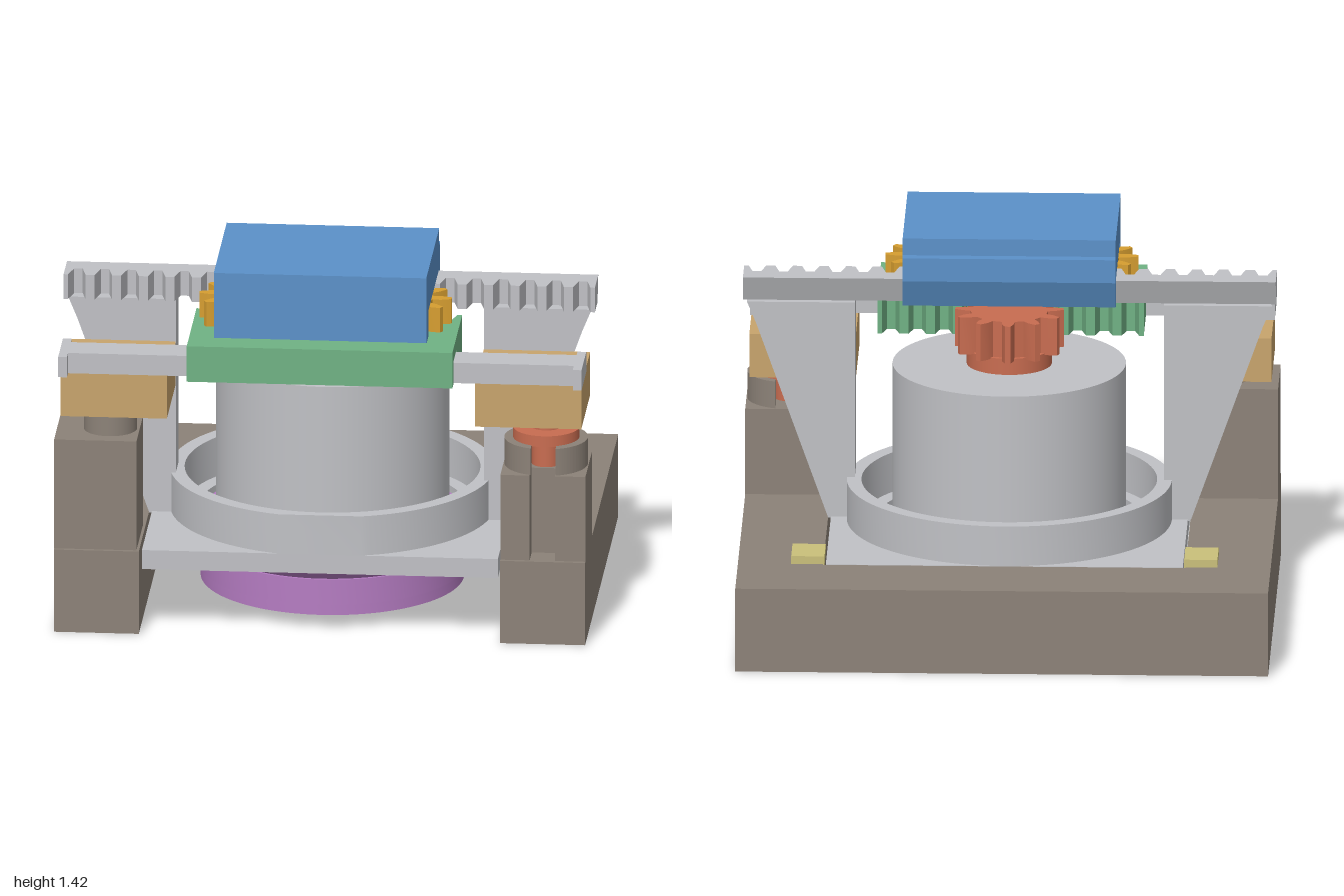
import * as THREE from 'three';
import { toCreasedNormals } from 'three/addons/utils/BufferGeometryUtils.js';

const mat = (name, color) => Object.assign(new THREE.MeshStandardMaterial({ color }), { name });
const M = {
  brown: mat('brown', 0x8c8278), grey: mat('light grey', 0xc0c1c5), purple: mat('purple', 0xb57cc2),
  tan: mat('tan', 0xc8a46c), orange: mat('orange', 0xc86c50), green: mat('green', 0x70b284),
  blue: mat('blue', 0x5b91c9), gold: mat('gold', 0xd69e30), yellow: mat('pale yellow', 0xcac07a),
};
const CZ = 0.16; // z of the main axis

export function createModel() {
  const model = new THREE.Group();
  model.name = 'gearedGripper';

  const add = (name, geo, m) => {
    const mesh = new THREE.Mesh(geo, m);
    mesh.name = name;
    model.add(mesh);
    return mesh;
  };
  // Box given by its limits
  const box = (name, m, x0, x1, y0, y1, z0, z1) => add(name,
    new THREE.BoxGeometry(x1 - x0, y1 - y0, z1 - z0)
      .translate((x0 + x1) / 2, (y0 + y1) / 2, (z0 + z1) / 2), m);
  const cyl = (name, m, r, x, z, y0, y1) => add(name,
    new THREE.CylinderGeometry(r, r, y1 - y0, 64).translate(x, (y0 + y1) / 2, z), m);
  const poly = (pts) => new THREE.Shape(pts.map(([a, b]) => new THREE.Vector2(a, b)));
  const disc = (x, z, r) => new THREE.Shape().absarc(x, z, r, 0, Math.PI * 2, false);
  const extrude = (shape, depth) => new THREE.ExtrudeGeometry(shape,
    { depth, bevelEnabled: false, curveSegments: 48 });
  // Plan outline (x, z) raised from y0 to y1
  const flat = (name, m, shape, y0, y1) => add(name,
    toCreasedNormals(extrude(shape, y1 - y0).rotateX(Math.PI / 2).translate(0, y1, 0), 0.5), m);
  // Side outline (z, y) drawn out from x0 to x1
  const along = (name, m, pts, x0, x1) => add(name,
    extrude(poly(pts), x1 - x0).rotateY(-Math.PI / 2).translate(x1, 0, 0), m);

  const gearShape = (x, z, root, tip, n, start) => {
    const pts = [], p = (Math.PI * 2) / n;
    for (let i = 0; i < n; i++) {
      for (const [f, r] of [[-0.29, root], [-0.22, (root + tip) / 2], [-0.09, tip],
        [0.09, tip], [0.22, (root + tip) / 2], [0.29, root]]) {
        const a = start + (i + f) * p;
        pts.push([x + r * Math.cos(a), z + r * Math.sin(a)]);
      }
    }
    return poly(pts);
  };
  // Straight rack with teeth centred on every 0.1 of x
  const rackShape = (half, back, root, tip) => {
    const pts = [[-half, back], [-half, tip]];
    const n = Math.round(half * 10);
    for (let i = -n; i < n; i++) {
      const v = (i + 0.5) / 10;
      if (Math.abs(v) < half - 0.02) {
        pts.push([v - 0.033, tip], [v - 0.016, root], [v + 0.016, root], [v + 0.033, tip]);
      }
    }
    pts.push([half, tip], [half, back]);
    return poly(pts);
  };

  // U-shaped base
  flat('base', M.brown, poly([[-1, -0.77], [1, -0.77], [1, 0.77], [0.68, 0.77],
    [0.68, -0.455], [-0.68, -0.455], [-0.68, 0.77], [-1, 0.77]]), 0, 0.325);

  // Plain post with its spigot
  box('plainPost', M.brown, -1, -0.69, 0.325, 0.755, 0.44, 0.755);
  cyl('postSpigot', M.brown, 0.1, -0.8, 0.6, 0.755, 0.83);

  // Slotted post with a split collar and adjusting spindle
  flat('slottedPost', M.brown, poly([[0.68, 0.44], [1, 0.44], [1, 0.755], [0.885, 0.755],
    [0.885, 0.66], [0.79, 0.66], [0.79, 0.755], [0.68, 0.755]]), 0.325, 0.66);
  for (const s of [0, Math.PI]) {
    const half = new THREE.Shape();
    half.absarc(0.84, 0.598, 0.157, s - 1.27, s + 1.27, false);
    half.absarc(0.84, 0.598, 0.115, s + 1.15, s - 1.15, true);
    flat('splitCollar', M.brown, half, 0.66, 0.765);
  }
  cyl('spindle', M.orange, 0.055, 0.84, 0.595, 0.66, 0.83);
  cyl('spindleFlange', M.orange, 0.125, 0.84, 0.595, 0.762, 0.805);

  // Mounting plate with round opening
  const plate = poly([[-0.67, -0.45], [0.67, -0.45], [0.67, 0.75], [-0.67, 0.75]]);
  plate.holes.push(disc(0, CZ, 0.5));
  flat('mountingPlate', M.grey, plate, 0.25, 0.325);

  // Raised rim, trimmed flush with the front of the plate
  const rim = new THREE.Shape();
  const cut = Math.asin((0.75 - CZ) / 0.61);
  rim.absarc(0, CZ, 0.61, Math.PI - cut, Math.PI * 2 + cut, false);
  rim.closePath();
  rim.holes.push(disc(0, CZ, 0.555));
  flat('plateRim', M.grey, rim, 0.325, 0.48);

  // Motor body
  cyl('motorBody', M.grey, 0.438, 0, CZ, 0.28, 0.937);

  // Lower flange with counterbored bolt holes
  const flange = (bolt) => {
    const s = disc(0, CZ, 0.495);
    s.holes.push(disc(0, CZ, 0.09));
    for (let i = 0; i < 6; i++) {
      const a = (i * Math.PI) / 3;
      s.holes.push(disc(0.37 * Math.cos(a), CZ + 0.37 * Math.sin(a), bolt));
    }
    return s;
  };
  flat('flangeFace', M.purple, flange(0.072), 0.055, 0.095);
  flat('flangeBody', M.purple, flange(0.042), 0.095, 0.195);
  const collar = [[0.09, 0.195], [0.485, 0.195], [0.55, 0.25], [0.498, 0.25], [0.498, 0.3],
    [0.09, 0.3], [0.09, 0.195]].map(([r, y]) => new THREE.Vector2(r, y));
  add('flangeCollar', toCreasedNormals(new THREE.LatheGeometry(collar, 72), 0.5)
    .translate(0, 0, CZ), M.purple);

  // Output shaft and pinion
  cyl('outputShaft', M.orange, 0.16, 0, CZ, 0.93, 1.0);
  flat('outputPinion', M.orange, gearShape(0, CZ, 0.145, 0.205, 11, -Math.PI / 2), 0.995, 1.14);

  // Mirrored side parts
  for (const s of [-1, 1]) {
    const span = (a, b) => (s > 0 ? [a, b] : [-b, -a]);
    box('bearingBlock', M.tan, ...span(0.58, 0.98), 0.83, 1.0, 0.29, 0.70);
    box('locatingPad', M.yellow, ...span(0.675, 0.8), 0.32, 0.355, -0.445, -0.285);
    box('guideBarEnd', M.grey, ...span(0.952, 0.985), 1.0, 1.08, 0.53, 0.75);

    // Tapering bracket that carries the fixed rack
    const pts = [[0.58, 0.32], [0.68, 0.32], [0.95, 1.08], [0.985, 1.165], [0.58, 1.165]]
      .map(([x, y]) => [s * x, y]);
    add('rackBracket', extrude(poly(pts), 0.12).translate(0, 0, 0.165), M.grey);

    // Idler gear on its stub
    cyl('idlerStub', M.green, 0.08, s * 0.25, 0.48, 1.13, 1.175);
    flat('idlerGear', M.gold, gearShape(s * 0.25, 0.48, 0.155, 0.225, 12, 0), 1.165, 1.262);
  }
  box('guideBar', M.grey, -0.985, 0.985, 1.0, 1.08, 0.57, 0.7);

  // Fixed rack with undercut back
  along('fixedRackBack', M.grey,
    [[0.157, 1.262], [0.192, 1.165], [0.24, 1.165], [0.24, 1.262]], -1, 1);
  flat('fixedRackTeeth', M.grey, rackShape(1, 0.21, 0.24, 0.313), 1.165, 1.262);

  // Driven carriage: toothed at the back, slotted for the guide bar
  flat('carriageRack', M.green, rackShape(0.5, 0.45, 0.37, 0.31), 1.0, 1.14);
  box('carriageTop', M.green, -0.5, 0.5, 1.09, 1.14, 0.44, 0.765);
  box('carriageRear', M.green, -0.5, 0.5, 1.0, 1.09, 0.44, 0.565);
  box('carriageFront', M.green, -0.5, 0.5, 1.0, 1.09, 0.705, 0.765);

  // Sliding cover hooked over the rack
  along('slidingCover', M.blue, [[0.725, 1.163], [0.725, 1.36], [0.742, 1.36], [0.742, 1.425],
    [0.142, 1.425], [0.142, 1.36], [0.1, 1.36], [0.1, 1.27], [0.14, 1.163], [0.184, 1.163],
    [0.148, 1.265], [0.65, 1.265], [0.65, 1.163]], -0.4, 0.4);

  return model;
}
